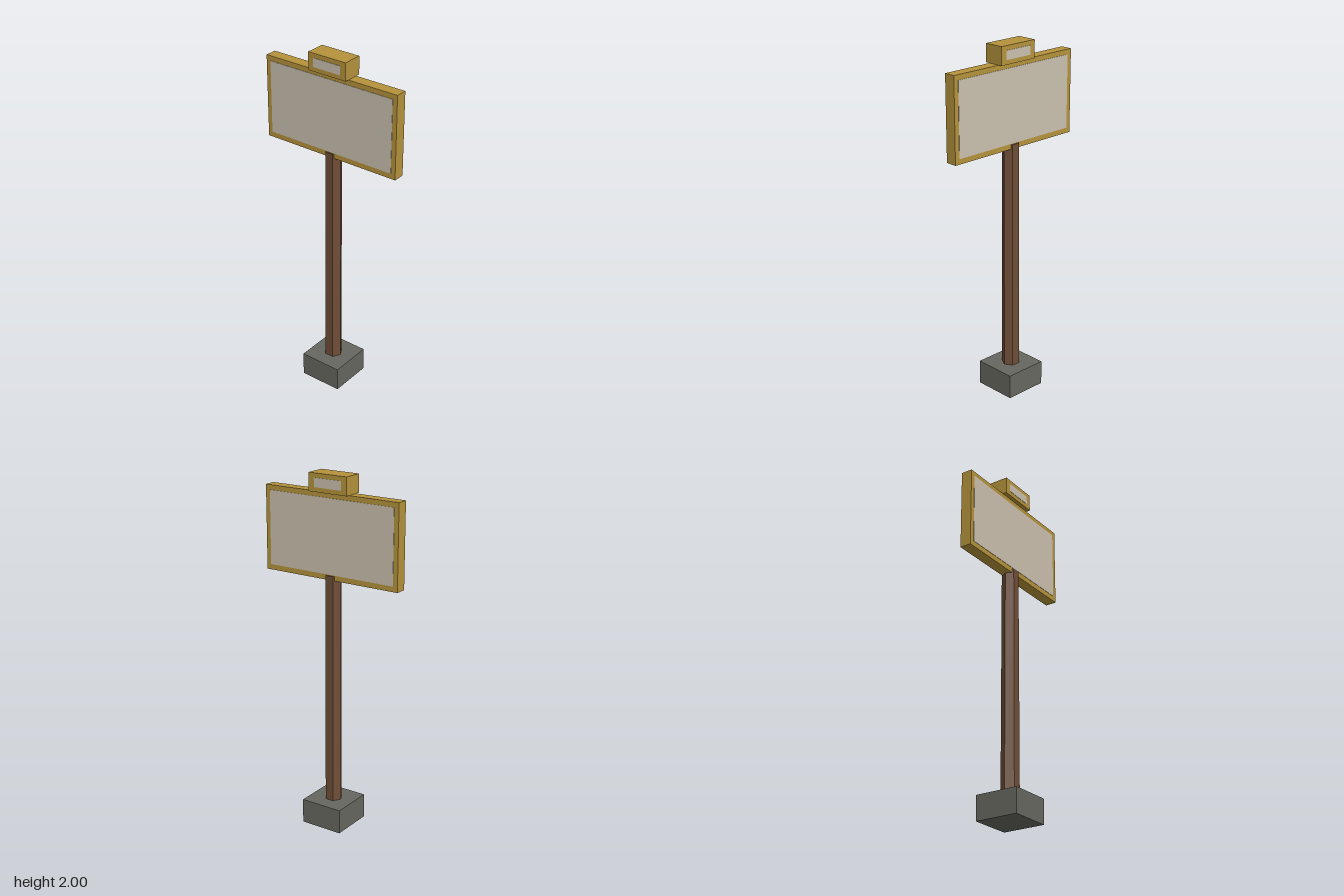
import * as THREE from 'three';

export function createModel() {
  const group = new THREE.Group();
  const material = (name, color) => {
    const m = new THREE.MeshStandardMaterial({ color });
    m.name = name;
    return m;
  };
  const stone = material('grey stone', 0x66675f);
  const wood = material('brown wood', 0x6f4e37);
  const gold = material('gold frame', 0xb5933b);
  const cream = material('pale panel', 0xcac0ae);
  wood.flatShading = true;

  const add = (name, geometry, mat, x, y, z) => {
    const mesh = new THREE.Mesh(geometry, mat);
    mesh.name = name;
    mesh.position.set(x, y, z);
    group.add(mesh);
    return mesh;
  };

  // Box given by its width, bottom, top and depth, centred on x and z
  const block = (name, w, y0, y1, d, mat, z = 0) =>
    add(name, new THREE.BoxGeometry(w, y1 - y0, d), mat, 0, (y0 + y1) / 2, z);

  // Base and six-sided post with flat faces to front and back
  block('base', 0.25, 0, 0.14, 0.25, stone);
  const post = add('post', new THREE.CylinderGeometry(0.047, 0.05, 1.315, 6), wood, 0, 0.7975, 0);
  post.rotation.y = Math.PI / 6;

  // Sign board and small top sign
  block('boardFrame', 0.84, 1.43, 1.9, 0.066, gold);
  block('topSignFrame', 0.238, 1.9, 2, 0.114, gold);

  // Thin panels on both faces of each sign
  for (const [side, s] of [['front', 1], ['back', -1]]) {
    block(side + 'BoardPanel', 0.786, 1.46, 1.872, 0.004, cream, s * 0.033);
    block(side + 'TopSignPanel', 0.17, 1.925, 1.975, 0.004, cream, s * 0.057);
  }
  return group;
}
